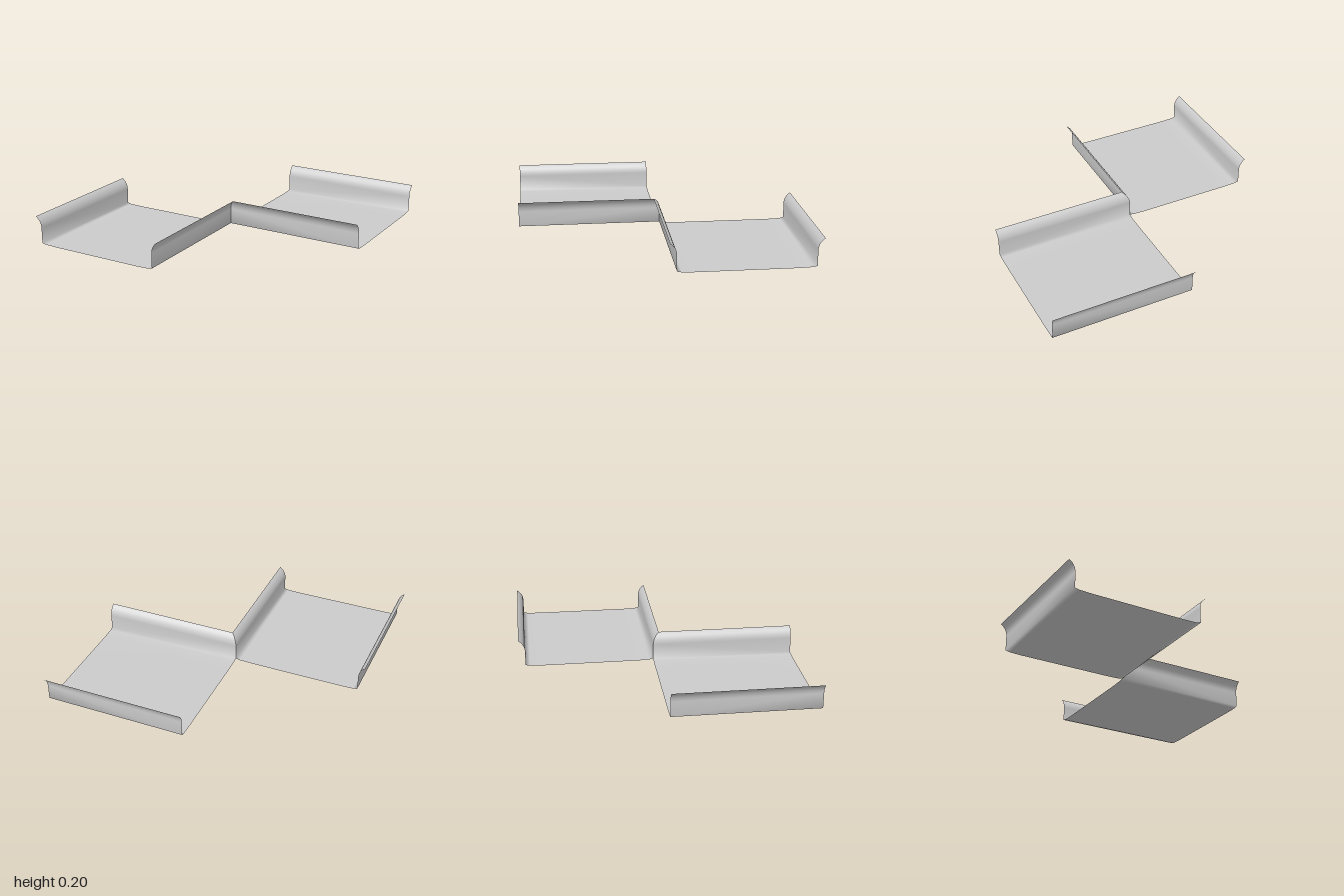
import * as THREE from 'three';

const INNER = -0.025; // base line of the walls that meet at the centre
const OUTER = -0.955; // base line of the far walls

// Wall section: [outward offset, height], upright then flaring outward on an arc
function wallSection() {
  const pts = [[0, 0.01], [0, 0.12]];
  const r = 0.094, sweep = 1.025, steps = 8;
  for (let i = 1; i <= steps; i++) {
    const a = (sweep * i) / steps;
    pts.push([r * (1 - Math.cos(a)), 0.12 + r * Math.sin(a)]);
  }
  return pts;
}

// Full cross-section: far wall, slightly dished floor, inner wall
function traySection() {
  const wall = wallSection();
  return [
    ...wall.map(([o, y]) => [OUTER - o, y]).reverse(),
    [OUTER + 0.03, 0.003], [OUTER + 0.12, 0],
    [INNER - 0.12, 0], [INNER - 0.03, 0.003],
    ...wall.map(([o, y]) => [INNER + o, y]),
  ];
}

// Sweeps the section along one axis; the inner wall is mitred at its start
function trayGeometry(swapped) {
  const positions = [], index = [];
  const section = traySection();
  section.forEach(([s, y], i) => {
    for (const u of [Math.max(INNER, s), 1]) {
      positions.push(...(swapped ? [s, y, u] : [u, y, s]));
    }
    if (i === section.length - 1) return;
    const a = 2 * i, b = a + 1, c = a + 2, d = a + 3;
    if (swapped) index.push(a, b, c, c, b, d);
    else index.push(a, c, b, c, d, b);
  });
  const geo = new THREE.BufferGeometry();
  geo.setAttribute('position', new THREE.Float32BufferAttribute(positions, 3));
  geo.setIndex(index);
  geo.computeVertexNormals();
  return geo;
}

export function createModel() {
  const group = new THREE.Group();
  group.name = 'cornerTrays';
  const material = new THREE.MeshStandardMaterial({ color: 0xcccccc, side: THREE.DoubleSide });

  // Two matching channels meeting at the mitred centre corner
  for (const [name, swapped] of [['backTray', false], ['frontTray', true]]) {
    const tray = new THREE.Mesh(trayGeometry(swapped), material);
    tray.name = name;
    group.add(tray);
  }
  return group;
}
